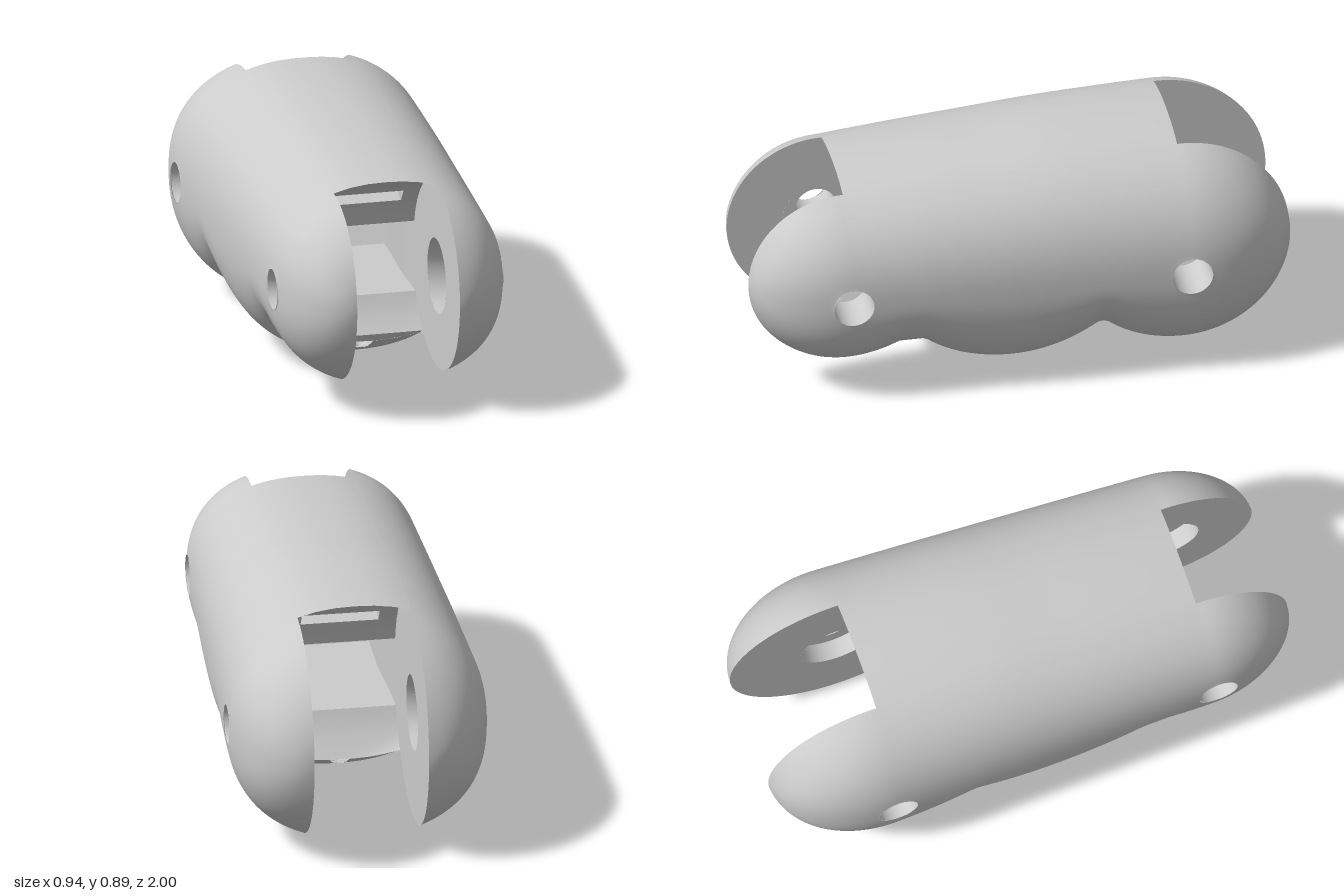
import * as THREE from 'three';
import { toCreasedNormals } from 'three/addons/utils/BufferGeometryUtils.js';

const material = new THREE.MeshStandardMaterial({ color: 0xcccccc, side: THREE.DoubleSide });
const { lerp, clamp, smoothstep } = THREE.MathUtils;
const C = 0.44;            // height of the hinge pins
const N = 2.3;             // roundness of the cross-section
const FRONT = 0.655, FRONT_R = 0.345;
const BACK = -0.59, BACK_R = 0.41;
const PINS = [{ z: FRONT, y: C }, { z: BACK, y: C }];

// Cross-section measures along z
const root = (v) => Math.sqrt(Math.max(v, 0));
const gapHalf = (z) => lerp(0.21, 0.192, smoothstep(z, -0.18, 0.18));
const endRound = (z) => z > FRONT ? root(1 - ((z - FRONT) / FRONT_R) ** 2)
  : z < BACK ? root(1 - ((z - BACK) / BACK_R) ** 2) : 1;
const halfWidth = (z) => {
  const g = gapHalf(z), full = lerp(0.475, 0.425, (z + 0.65) / 1.35);
  return g + (full - g) * Math.max(endRound(z), 1e-4);
};
const topHeight = (z) => {
  const k = clamp((z - BACK) / (FRONT - BACK), 0, 1);
  return (lerp(BACK_R, FRONT_R, k) + 0.06 * k * (1 - k)) * endRound(z);
};
const bottomDepth = (z) => Math.max(
  root(FRONT_R ** 2 - (z - FRONT) ** 2),
  root(BACK_R ** 2 - (z - BACK) ** 2),
  root(0.216 - (z - 0.05) ** 2) - 0.05,
  z > -0.4 && z < 0.56 ? 0.29 : 0);

// Height of the outer skin between the two cheeks
const crown = (x, z) => {
  const w = halfWidth(z), f = (q) => (1 - (Math.abs(q) / w) ** N) ** (1 / N);
  return f(x) / f(gapHalf(z));
};
const topY = (x, z) => C + topHeight(z) * crown(x, z);
const bottomY = (x, z) => C - bottomDepth(z) * crown(x, z);

// Grid surface; hole(p) gives [offsetA, offsetB, radius, axisA, axisB] of a round opening
function grid(name, nu, nv, point, { flip = false, hole, skip, crease = 0.7 } = {}) {
  const pos = [], inside = [], index = [];
  for (let i = 0; i <= nu; i++) for (let j = 0; j <= nv; j++) {
    const p = point(i / nu, j / nv, i, j);
    const h = hole && hole(p);
    let cut = false;
    if (h) {
      const [a, b, r, ia, ib] = h, d = Math.hypot(a, b);
      if (d < r) {
        cut = true;
        const s = d > 1e-6 ? r / d - 1 : 0;
        p[ia] += a * s;
        p[ib] += b * s;
      }
    }
    inside.push(cut);
    pos.push(...p);
  }
  for (let i = 0; i < nu; i++) for (let j = 0; j < nv; j++) {
    const a = i * (nv + 1) + j, b = a + nv + 1, c = b + 1, d = a + 1;
    if ([a, b, c, d].every((q) => inside[q]) || (skip && skip(i, j))) continue;
    index.push(...(flip ? [a, c, b, a, d, c] : [a, b, c, a, c, d]));
  }
  const g = new THREE.BufferGeometry();
  g.setAttribute('position', new THREE.Float32BufferAttribute(pos, 3));
  g.setIndex(index);
  g.computeVertexNormals();
  const mesh = new THREE.Mesh(crease ? toCreasedNormals(g, crease) : g, material);
  mesh.name = name;
  return mesh;
}

const pinHole = (r) => (p) => {
  const pin = PINS[p[2] > 0 ? 0 : 1];
  return [p[2] - pin.z, p[1] - pin.y, r, 2, 1];
};

// One cheek: rounded outside, flat inside, stepped pin bores
function cheek(side) {
  const group = new THREE.Group();
  group.name = side > 0 ? 'leftCheek' : 'rightCheek';
  const zAt = (u) => -Math.cos(Math.PI * u);
  group.add(grid('outerSkin', 130, 64, (u, v) => {
    const z = zAt(u), w = halfWidth(z), t = 2 * v - 1;
    const full = Math.acos(Math.min(1, (gapHalf(z) / w) ** (N / 2)));
    const a = Math.abs(t) * full;
    const rise = full > 1e-6 ? (Math.sin(a) / Math.sin(full)) ** (2 / N) : Math.abs(t);
    const y = t > 0 ? topHeight(z) * rise : -bottomDepth(z) * rise;
    return [side * w * Math.cos(a) ** (2 / N), C + y, z];
  }, { flip: side > 0, hole: pinHole(0.075), crease: 0 }));
  group.add(grid('innerFace', 130, 50, (u, v) => {
    const z = zAt(u);
    return [side * gapHalf(z), C + lerp(-bottomDepth(z), topHeight(z), v), z];
  }, { flip: side < 0, hole: pinHole(0.14) }));
  for (const pin of PINS) {
    const g = gapHalf(pin.z), w = halfWidth(pin.z) - 0.004;
    const profile = [[0.14, g], [0.14, g + 0.07], [0.075, g + 0.07], [0.075, w]];
    const bore = new THREE.LatheGeometry(profile.map((p) => new THREE.Vector2(...p)), 36);
    bore.rotateZ(-side * Math.PI / 2);
    const mesh = new THREE.Mesh(toCreasedNormals(bore, 0.6), material);
    mesh.name = 'pinBore';
    mesh.position.set(0, pin.y, pin.z);
    group.add(mesh);
  }
  return group;
}

// Concave walls of the hinge gaps, swept around the pins
const frontArc = (y) => 0.66 - root(0.355 ** 2 - (y - C) ** 2);
const backArc = (y) => -0.585 + root(0.42 ** 2 - (y - C) ** 2);

// Inside of a bridge: front wall, tunnel face and back wall in one sweep
function bridgeInside(name, ys, zEnds, edgeY, options) {
  const path = [[zEnds[0], null], ...ys.map((y) => [frontArc(y), y]),
    ...[...ys].reverse().map((y) => [backArc(y), y]), [zEnds[1], null]];
  const columns = [-1, -0.68, -0.34, 0, 0.34, 0.68, 1];
  return grid(name, 6, path.length - 1, (u, v, i, j) => {
    const [z, y] = path[j], x = columns[i] * gapHalf(z);
    return [x, y ?? edgeY(x, z), z];
  }, options);
}

export function createModel() {
  const model = new THREE.Group();
  model.name = 'fingerSegment';
  model.add(cheek(1), cheek(-1));

  // Top bridge with a flat strap slot
  const strip = (y, z0, z1) => (u, v) => {
    const z = lerp(z0, z1, u), x = lerp(-1, 1, v) * gapHalf(z);
    return [x, y(x, z), z];
  };
  model.add(grid('topSkin', 40, 20, strip(topY, -0.585, 0.65), { crease: 0 }));
  const roofYs = [0.78, 0.76, 0.725, 0.69, 0.64, 0.59, 0.54];
  const last = 2 * roofYs.length;
  model.add(bridgeInside('topBridgeInside', roofYs, [0.65, -0.585], topY, {
    flip: false,
    skip: (i, j) => i > 0 && i < 5 && (j === 4 || j === last - 4),
  }));
  const corners = [[-1, 0.64], [1, 0.64], [1, 0.69], [-1, 0.69], [-1, 0.64]];
  model.add(grid('strapSlot', 12, 4, (u, v, i, j) => {
    const [s, y] = corners[j], z = lerp(frontArc(y), backArc(y), u);
    return [s * 0.68 * gapHalf(z), y + 0.06 * Math.sin(Math.PI * u), z];
  }));

  // Bottom bridge: belly pad with a cord channel
  const cordY = 0.095, cordR = 0.035;
  model.add(grid('bellySkin', 80, 44, strip(bottomY, -0.3, 0.42), {
    flip: true,
    hole: (p) => [p[0], p[1] - cordY, cordR, 0, 1],
    crease: 0,
  }));
  model.add(bridgeInside('bottomBridgeInside', [0.16, 0.2, 0.24, 0.28], [0.42, -0.3], bottomY, { flip: true }));
  model.add(grid('cordChannel', 16, 24, (u, v) => {
    const a = v * Math.PI * 2, y = cordY + cordR * Math.sin(a);
    const reach = root(0.216 - ((C - y) * 0.945 + 0.05) ** 2);
    return [cordR * Math.cos(a), y + 0.08 * Math.sin(Math.PI * u), 0.05 + lerp(-reach, reach, u)];
  }, { crease: 0 }));
  return model;
}
